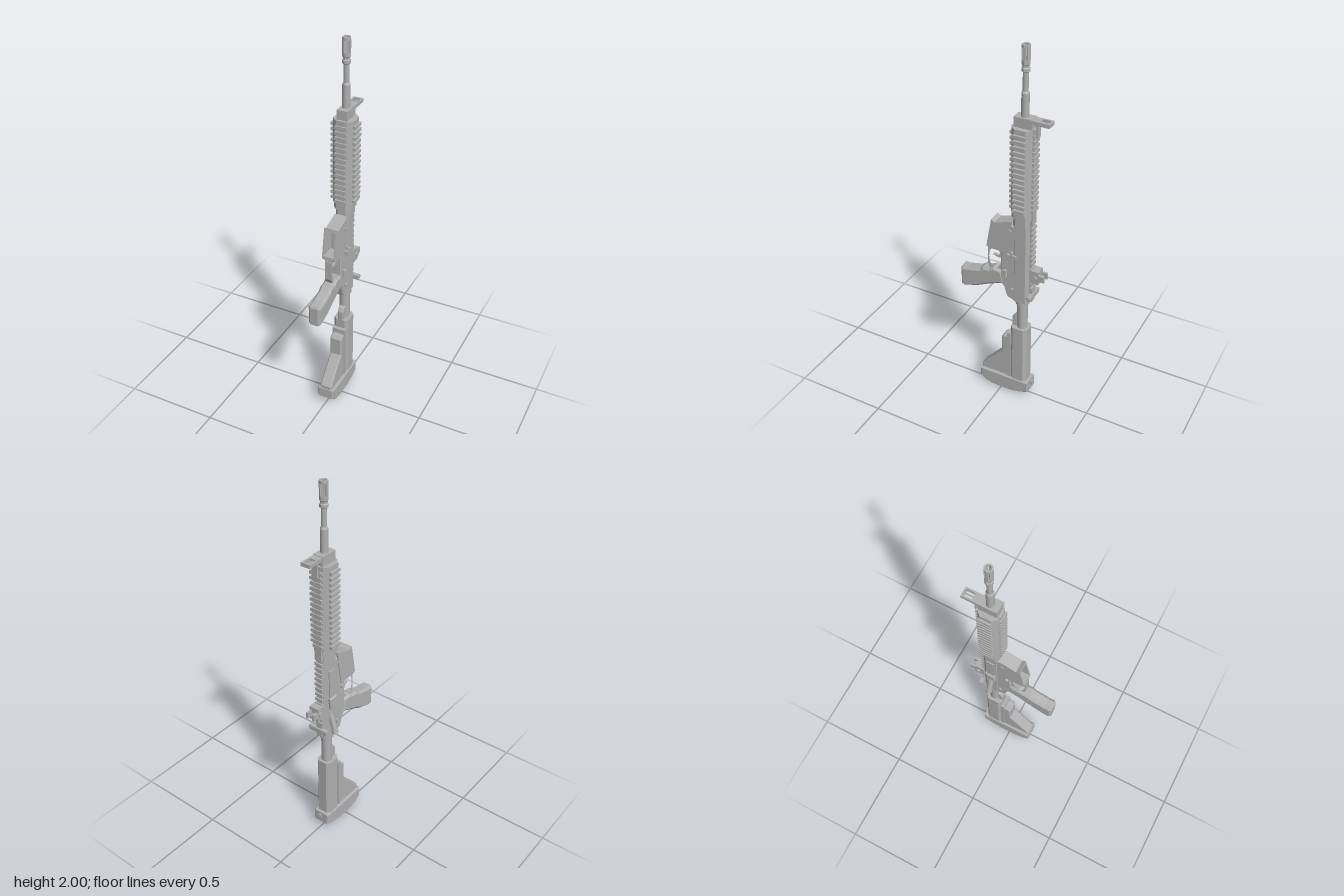
import * as THREE from 'three';

const grey = new THREE.MeshStandardMaterial({ color: 0xb0b0b0 });
grey.name = 'plain grey';
const AXIS = -0.108; // depth of the barrel axis

export function createModel() {
  const root = new THREE.Group();
  root.name = 'rifleProp';

  const add = (name, geo, x = 0, y = 0, z = 0) => {
    const m = new THREE.Mesh(geo, grey);
    m.name = name;
    m.position.set(x, y, z);
    root.add(m);
    return m;
  };
  // box given by its limits
  const box = (name, x0, x1, y0, y1, z0, z1) =>
    add(name, new THREE.BoxGeometry(x1 - x0, y1 - y0, z1 - z0), (x0 + x1) / 2, (y0 + y1) / 2, (z0 + z1) / 2);
  // side profile of [z, y] points, extruded across x with bevelled edges
  const side = (name, pts, width, bevel = 0.006, holes = [], x = 0) => {
    const shape = new THREE.Shape(pts.map(p => new THREE.Vector2(...p)));
    shape.holes.push(...holes);
    const geo = new THREE.ExtrudeGeometry(shape, {
      depth: width - 2 * bevel, bevelEnabled: bevel > 0, bevelSize: bevel,
      bevelThickness: bevel, bevelOffset: -bevel, bevelSegments: 1, curveSegments: 10
    });
    geo.translate(0, 0, -(width - 2 * bevel) / 2).rotateY(-Math.PI / 2);
    return add(name, geo, x);
  };
  // upright block with chamfered corners
  const prism = (name, w, z0, z1, y0, y1, c) => {
    const a = -z1, b = -z0;
    const pts = [[-w + c, a], [w - c, a], [w, a + c], [w, b - c], [w - c, b], [-w + c, b], [-w, b - c], [-w, a + c]];
    const geo = new THREE.ExtrudeGeometry(new THREE.Shape(pts.map(p => new THREE.Vector2(...p))),
      { depth: y1 - y0, bevelEnabled: false });
    return add(name, geo.rotateX(-Math.PI / 2), 0, y0, 0);
  };
  const rod = (name, r0, r1, y0, y1, z = AXIS, x = 0, n = 16) =>
    add(name, new THREE.CylinderGeometry(r1, r0, y1 - y0, n), x, (y0 + y1) / 2, z);
  // short pin lying along x
  const pin = (name, r, x0, x1, y, z, n = 12) =>
    add(name, new THREE.CylinderGeometry(r, r, x1 - x0, n).rotateZ(Math.PI / 2), (x0 + x1) / 2, y, z);

  // shoulder stock
  side('buttPad', [[0.125, 0.1], [0.125, 0.045], [0.09, 0.018], [0.04, 0.005], [-0.06, 0.004],
    [-0.12, 0.017], [-0.165, 0.035], [-0.165, 0.1]], 0.092);
  for (let i = 0; i < 8; i++) box('buttGroove', -0.036, 0.036, 0, 0.012, 0.055 - i * 0.017, 0.063 - i * 0.017);
  prism('stockTube', 0.041, -0.148, -0.055, 0.09, 0.45, 0.016);
  side('stockWeb', [[-0.06, 0.375], [-0.012, 0.37], [0.0, 0.355], [0.0, 0.255], [0.12, 0.12], [0.12, 0.09], [-0.06, 0.09]], 0.064);
  box('stockRib', -0.037, 0.037, 0.1, 0.4, -0.058, -0.036);
  side('stockLever', [[-0.055, 0.44], [-0.055, 0.5], [-0.068, 0.52], [-0.085, 0.53], [-0.085, 0.44]], 0.03, 0.004);
  pin('slingPin', 0.012, -0.046, 0.046, 0.08, -0.15);
  box('slingStud', -0.008, 0.008, 0.068, 0.088, -0.176, -0.16);

  // buffer tube
  rod('bufferTube', 0.028, 0.028, 0.44, 0.63);
  rod('castleNut', 0.036, 0.036, 0.605, 0.632);

  // receiver
  prism('upperReceiver', 0.034, -0.152, -0.06, 0.625, 1.1, 0.016);
  side('lowerReceiver', [[0.0, 1.075], [0.002, 0.78], [0.012, 0.72], [-0.015, 0.69], [-0.032, 0.635],
    [-0.09, 0.615], [-0.09, 1.075]], 0.062);
  box('topRailBase', -0.017, 0.017, 0.7, 1.1, -0.16, -0.15);
  for (let i = 0; i < 13; i++) box('topRailRib', -0.022, 0.022, 0.71 + i * 0.03, 0.726 + i * 0.03, -0.168, -0.157);
  for (const s of [-1, 1]) {
    pin('rearPin', 0.012, s * 0.034 - 0.005, s * 0.034 + 0.005, 0.69, -0.06);
    pin('frontPin', 0.012, s * 0.034 - 0.005, s * 0.034 + 0.005, 1.04, -0.045);
    pin('triggerPin', 0.006, s * 0.032 - 0.003, s * 0.032 + 0.003, 0.85, -0.035);
  }

  // open magazine well
  const wall = [[0.054, 1.082], [0.082, 0.92], [0.07, 0.91], [-0.03, 0.91], [-0.06, 1.1], [0.035, 1.07]];
  for (const s of [-1, 1]) side('wellSide', wall, 0.008, 0, [], s * 0.031);
  side('wellFrontWall', [[0.054, 1.082], [0.057, 1.066], [-0.03, 1.066], [-0.06, 1.1], [0.035, 1.07]], 0.062, 0);
  side('wellRearWall', [[0.082, 0.92], [0.08, 0.934], [-0.03, 0.934], [-0.03, 0.908], [0.07, 0.908]], 0.062, 0);

  // trigger and guard
  const hole = new THREE.Path();
  hole.absellipse(0.042, 0.848, 0.034, 0.063, 0, Math.PI * 2, true);
  side('triggerGuard', [[-0.01, 0.925], [0.078, 0.925], [0.083, 0.9], [0.083, 0.8], [0.07, 0.775], [-0.01, 0.765]],
    0.036, 0, [hole]);
  side('trigger', [[0.0, 0.872], [0.03, 0.858], [0.056, 0.862], [0.057, 0.856], [0.03, 0.846], [0.0, 0.85]], 0.014, 0);

  // pistol grip
  side('grip', [[0.0, 0.785], [0.05, 0.79], [0.075, 0.775], [0.11, 0.772], [0.13, 0.755], [0.2, 0.738], [0.236, 0.735],
    [0.242, 0.725], [0.24, 0.622], [0.225, 0.615], [0.15, 0.637], [0.08, 0.672], [0.012, 0.7], [-0.02, 0.705]], 0.066, 0.012);

  // controls on the left
  side('selector', [[-0.018, 0.805], [-0.032, 0.805], [-0.034, 0.76], [-0.016, 0.76]], 0.016, 0.002, [], 0.036);
  box('boltCatch', 0.03, 0.042, 0.875, 0.925, -0.068, -0.056);
  box('boltCatchPaddle', 0.03, 0.044, 0.892, 0.908, -0.088, -0.036);

  // ejection side: cover, deflector, forward assist, release
  box('ejectionCover', -0.04, -0.03, 0.87, 1.03, -0.128, -0.086);
  side('caseDeflector', [[-0.08, 0.87], [-0.08, 0.81], [-0.125, 0.8], [-0.135, 0.87]], 0.024, 0.006, [], -0.036);
  const assist = add('forwardAssist', new THREE.CylinderGeometry(0.015, 0.015, 0.11, 14), -0.045, 0.715, -0.112);
  assist.rotation.z = -0.28;
  const knob = add('assistButton', new THREE.CylinderGeometry(0.017, 0.017, 0.02, 14), -0.059, 0.665, -0.112);
  knob.rotation.z = -0.28;
  pin('magazineRelease', 0.012, -0.042, -0.03, 0.885, -0.02);

  // charging handle
  box('chargingHandle', -0.016, 0.016, 0.64, 0.72, -0.168, -0.145);
  box('chargingBar', -0.052, 0.056, 0.665, 0.69, -0.176, -0.155);
  pin('chargingLatch', 0.012, 0.035, 0.058, 0.68, -0.166);

  // rear sight
  box('rearSightBase', -0.027, 0.027, 0.765, 0.84, -0.205, -0.155);
  for (const s of [-1, 1]) box('rearSightEar', s * 0.019 - 0.006, s * 0.019 + 0.006, 0.785, 0.82, -0.235, -0.2);
  add('rearAperture', new THREE.TorusGeometry(0.01, 0.004, 6, 14).rotateX(Math.PI / 2), 0, 0.802, -0.214);
  pin('rearSightKnob', 0.013, -0.036, 0.036, 0.802, -0.188);

  // handguard with four ribbed rails
  prism('barrelNut', 0.04, -0.152, -0.064, 1.09, 1.15, 0.018);
  prism('handguardCollar', 0.046, -0.16, -0.054, 1.13, 1.18, 0.022);
  prism('handguard', 0.053, -0.16, -0.054, 1.16, 1.61, 0.024);
  box('handguardSpine', -0.02, 0.02, 1.1, 1.612, -0.166, -0.15);
  box('lowerRailBase', -0.02, 0.02, 1.16, 1.612, -0.07, -0.05);
  for (let i = 0; i < 15; i++) {
    const y = 1.175 + i * 0.0283, t = y + 0.015;
    box('upperRib', -0.029, 0.029, y, t, -0.171, -0.158);
    box('lowerRib', -0.029, 0.029, y, t, -0.056, -0.043);
    for (const s of [-1, 1]) {
      const rib = box('sideRib', -0.0075, 0.0075, y, t, -0.14, -0.076);
      rib.position.x = s * 0.0575;
    }
  }

  // gas block and folding front sight
  box('gasBlock', -0.027, 0.027, 1.6, 1.66, -0.155, -0.062);
  box('frontSightArm', -0.025, 0.025, 1.638, 1.657, -0.19, -0.1);
  for (const s of [-1, 1]) box('frontSightEar', s * 0.0205 - 0.0045, s * 0.0205 + 0.0045, 1.638, 1.657, -0.237, -0.185);
  box('frontSightTop', -0.025, 0.025, 1.638, 1.657, -0.242, -0.232);
  box('frontSightPost', -0.003, 0.003, 1.644, 1.651, -0.235, -0.185);
  box('frontSightLeg', -0.015, 0.015, 1.565, 1.645, -0.18, -0.171);

  // barrel and flash hider
  rod('barrelStep', 0.019, 0.019, 1.65, 1.775);
  rod('barrelTaper', 0.019, 0.0135, 1.775, 1.785);
  rod('barrel', 0.0135, 0.0135, 1.78, 1.89);
  const profile = [[0.013, 1.872], [0.021, 1.878], [0.021, 1.892], [0.017, 1.897], [0.017, 1.905],
    [0.021, 1.91], [0.021, 1.93], [0.012, 1.93], [0, 1.93]].map(p => new THREE.Vector2(...p));
  add('hiderBase', new THREE.LatheGeometry(profile, 8).toNonIndexed(), 0, 0, AXIS).geometry.computeVertexNormals();
  const ring = [[0.013, 1.985], [0.021, 1.985], [0.021, 2], [0.013, 2], [0.013, 1.985]].map(p => new THREE.Vector2(...p));
  add('hiderRing', new THREE.LatheGeometry(ring, 8).toNonIndexed(), 0, 0, AXIS).geometry.computeVertexNormals();
  for (let i = 0; i < 6; i++) {
    const a = i * Math.PI / 3 + Math.PI / 6;
    const prong = add('hiderProng', new THREE.BoxGeometry(0.012, 0.062, 0.007),
      Math.sin(a) * 0.0165, 1.957, AXIS + Math.cos(a) * 0.0165);
    prong.rotation.y = a;
  }
  return root;
}
